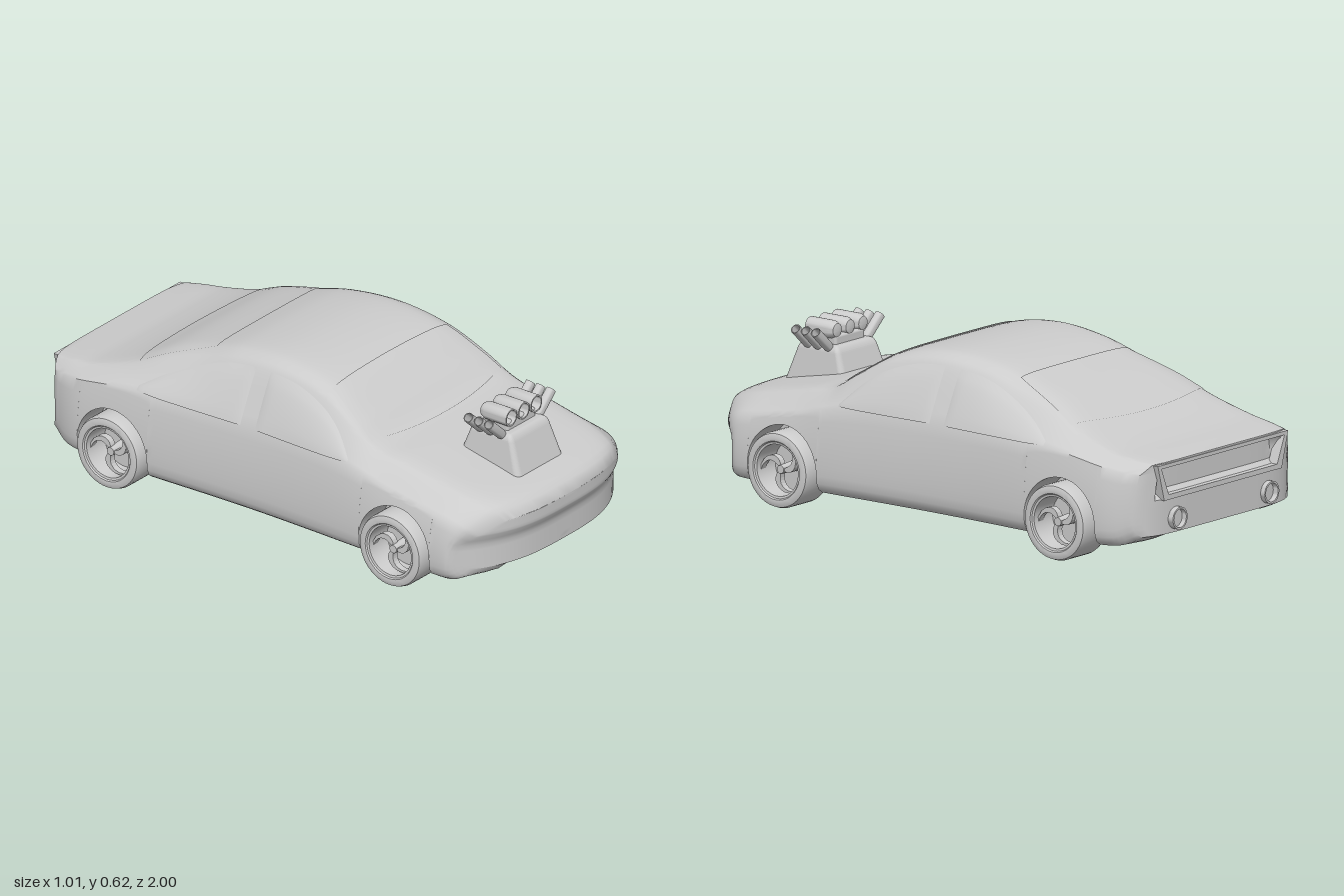
import * as THREE from 'three';
import { mergeGeometries, toCreasedNormals } from 'three/addons/utils/BufferGeometryUtils.js';
import { RoundedBoxGeometry } from 'three/addons/geometries/RoundedBoxGeometry.js';

const grey = new THREE.MeshStandardMaterial({ color: 0xcccccc });
const greyThin = new THREE.MeshStandardMaterial({ color: 0xcccccc, side: THREE.DoubleSide });
const lerp = THREE.MathUtils.lerp;

const AXLES = [0.6, -0.64], WHEEL_Y = 0.135, ARCH_R = 0.155, TAIL = -0.982;

// body stations: z, bottom y, shoulder y, top y, half width, roof half width
const STATIONS = [
  [1.0, 0.11, 0.24, 0.288, 0.425, 0.3],
  [0.985, 0.095, 0.255, 0.314, 0.438, 0.31],
  [0.95, 0.082, 0.267, 0.334, 0.455, 0.32],
  [0.85, 0.07, 0.29, 0.36, 0.47, 0.33],
  [0.7, 0.07, 0.31, 0.39, 0.475, 0.34],
  [0.55, 0.07, 0.335, 0.42, 0.475, 0.35],
  [0.44, 0.07, 0.365, 0.442, 0.474, 0.36],
  [0.35, 0.07, 0.38, 0.5, 0.472, 0.355],
  [0.2, 0.07, 0.39, 0.585, 0.467, 0.33],
  [0, 0.07, 0.39, 0.62, 0.463, 0.32],
  [-0.2, 0.07, 0.39, 0.605, 0.465, 0.31],
  [-0.35, 0.07, 0.39, 0.562, 0.47, 0.305],
  [-0.5, 0.07, 0.385, 0.512, 0.475, 0.315],
  [-0.65, 0.07, 0.375, 0.44, 0.475, 0.34],
  [-0.8, 0.07, 0.35, 0.392, 0.468, 0.36],
  [-0.9, 0.078, 0.335, 0.377, 0.45, 0.36],
  [TAIL, 0.11, 0.33, 0.366, 0.425, 0.35],
];

// smooth interpolation of one station column
function column(z, c) {
  const S = STATIONS, n = S.length;
  let i = 0;
  while (i < n - 2 && z < S[i + 1][0]) i++;
  const slope = (k) => {
    const a = S[Math.max(k - 1, 0)], b = S[Math.min(k + 1, n - 1)];
    return (b[c] - a[c]) / (b[0] - a[0]);
  };
  const h = S[i + 1][0] - S[i][0], t = (z - S[i][0]) / h, t2 = t * t, t3 = t2 * t;
  return (2 * t3 - 3 * t2 + 1) * S[i][c] + (t3 - 2 * t2 + t) * h * slope(i)
    + (3 * t2 - 2 * t3) * S[i + 1][c] + (t3 - t2) * h * slope(i + 1);
}

// half cross-section from bottom centre, round the side, to top centre
const FLOOR_ROWS = 5, SIDE_ROWS = 9, TOP_ROWS = 16;
function halfSection(z, archY) {
  const [yb, yS, yT, W, R] = [1, 2, 3, 4, 5].map((c) => column(z, c));
  const sideX = (y) => W * (1 - 0.07 * Math.exp(-(y - yb) / 0.015)
    - 0.05 * Math.max(0, (y - 0.15) / (yS - 0.15)) ** 2);
  const a = archY ?? yb;
  const pts = [[0, yb + 0.014], [0.26, yb + 0.014], [0.3, yb], [0.34, yb], [0.34, a]];
  for (let k = 0; k < SIDE_ROWS; k++) {
    const y = lerp(a, yS, (k / SIDE_ROWS) ** 1.4);
    pts.push([sideX(y), y]);
  }
  const xs = sideX(yS);
  const upper = new THREE.SplineCurve([
    [xs, 0], [lerp(xs, R, 0.65), 0.72], [R, 0.915], [R * 0.75, 0.987], [0, 1],
  ].map(([x, t]) => new THREE.Vector2(x, lerp(yS, yT, t))));
  for (const p of upper.getPoints(TOP_ROWS)) pts.push([p.x, p.y]);
  return pts;
}

// bows the nose and tail in plan and tucks in the lower nose
function warp([x, y, z]) {
  const s = Math.abs(x) / 0.47;
  if (z > 0.72) {
    const f = ((z - 0.72) / 0.28) ** 2;
    z -= f * (0.16 * s ** 3 + 0.022 * (1 - THREE.MathUtils.smoothstep(y, 0.2, 0.25)));
  } else if (z < -0.78) {
    z += ((z + 0.78) / 0.2) ** 2 * 0.11 * s ** 7;
  }
  return [x, y, z];
}

// surface grid from a point function; faces along di x dj
function grid(ni, nj, point) {
  const pos = [], index = [];
  for (let i = 0; i <= ni; i++) for (let j = 0; j <= nj; j++) {
    pos.push(...point(i, j));
    if (i < ni && j < nj) {
      const a = i * (nj + 1) + j, d = a + nj + 1;
      index.push(a, d, d + 1, a, d + 1, a + 1);
    }
  }
  const g = new THREE.BufferGeometry();
  g.setAttribute('position', new THREE.Float32BufferAttribute(pos, 3));
  g.setIndex(index);
  g.computeVertexNormals();
  return g;
}

function add(parent, name, geometry, material = grey) {
  const mesh = new THREE.Mesh(geometry, material);
  mesh.name = name;
  parent.add(mesh);
  return mesh;
}

function bodyGeometry() {
  const cuts = [];
  for (let k = 0; k <= 80; k++) {
    const z = lerp(1, TAIL, k / 80);
    if (AXLES.every((c) => Math.abs(z - c) > ARCH_R + 0.004)) cuts.push([z]);
  }
  for (const c of AXLES) {
    cuts.push([c + ARCH_R + 2e-4], [c - ARCH_R - 2e-4]);
    for (let k = 0; k <= 24; k++) {
      const t = (k / 24) * Math.PI;
      cuts.push([c + ARCH_R * Math.cos(t), WHEEL_Y + ARCH_R * Math.sin(t)]);
    }
  }
  cuts.sort((a, b) => b[0] - a[0]);
  const rings = cuts.map(([z, archY]) => {
    const half = halfSection(z, archY);
    const mirrored = half.slice(0, -1).reverse().map(([x, y]) => [-x, y]);
    return [...half, ...mirrored].map(([x, y]) => warp([x, y, z]));
  });
  const shell = grid(rings.length - 1, rings[0].length - 1, (i, j) => rings[i][j]);
  // bowed end faces, the rear one with a sunken panel
  const cap = (z, dir) => {
    const half = halfSection(z);
    return grid(24, half.length - 1, (i, j) => {
      const [x, y, cz] = warp([half[j][0] * dir * (i / 12 - 1), half[j][1], z]);
      const sunk = dir < 0 && y > 0.25 && y < 0.348 && Math.abs(x) < 0.322;
      return [x, y, cz + (sunk ? 0.035 : 0)];
    });
  };
  return toCreasedNormals(mergeGeometries([shell, cap(1, 1), cap(TAIL, -1)]), 0.8);
}

// body surface lookups used by the glass
function surfaceX(z, y) {
  const p = halfSection(z).slice(FLOOR_ROWS);
  let k = 0;
  while (k < p.length - 2 && p[k + 1][1] < y) k++;
  return lerp(p[k][0], p[k + 1][0], (y - p[k][1]) / (p[k + 1][1] - p[k][1]));
}
function surfaceY(z, x) {
  const p = halfSection(z).slice(FLOOR_ROWS + SIDE_ROWS), ax = Math.abs(x);
  let k = 0;
  while (k < p.length - 2 && p[k + 1][0] > ax) k++;
  return lerp(p[k][1], p[k + 1][1], (ax - p[k][0]) / (p[k + 1][0] - p[k][0]));
}

function sideWindow(topLine, side) {
  const curve = new THREE.SplineCurve(topLine.map(([z, y]) => new THREE.Vector2(z, y)));
  return grid(20, 8, (i, j) => {
    const p = curve.getPoint(i / 20), y = lerp(0.387, p.y, j / 8);
    const bulge = 0.002 + 0.012 * Math.sqrt(Math.sin(Math.PI * i / 20) * Math.sin(Math.PI * lerp(0.1, 1, j / 8)) + 1e-9);
    return [side * (surfaceX(p.x, y) + bulge), y, p.x];
  });
}

// screen between two edges, each [z, half width, bow]
function screen(front, rear) {
  return grid(24, 14, (i, j) => {
    const u = i / 12 - 1, t = j / 14;
    const x = u * lerp(front[1], rear[1], t);
    const z = lerp(front[0] - front[2] * u * u, rear[0] - rear[2] * u * u, t);
    return [x, surfaceY(z, x) + 0.004, z];
  });
}

function lathe(profile, segments) {
  return toCreasedNormals(new THREE.LatheGeometry(profile.map(([r, h]) => new THREE.Vector2(r, h)), segments), 0.6);
}

// hollow-ended pipe between two points
function pipe(parent, name, from, to, r) {
  const a = new THREE.Vector3(...from), dir = new THREE.Vector3(...to).sub(a), L = dir.length();
  const mesh = add(parent, name, lathe([[0, 0], [r * 0.75, 0.006], [r, 0.025], [r, L], [r * 0.83, L], [r * 0.8, L * 0.5], [0, L * 0.5]], 24));
  mesh.position.copy(a);
  mesh.quaternion.setFromUnitVectors(new THREE.Vector3(0, 1, 0), dir.normalize());
}

function wheel() {
  const g = new THREE.Group();
  add(g, 'tyreAndRim', lathe([[0, -0.05], [0.085, -0.05], [0.1, -0.073], [0.115, -0.075], [0.13, -0.069], [0.135, -0.055],
    [0.135, 0.055], [0.13, 0.069], [0.115, 0.075], [0.104, 0.073], [0.1, 0.068], [0.092, 0.066], [0.088, -0.03], [0, -0.03]], 48).rotateZ(-Math.PI / 2));
  // swept spokes
  for (let k = 0; k < 3; k++) {
    const edge = (s) => Array.from({ length: 9 }, (_, i) => {
      const t = i / 8, r = lerp(0.012, 0.091, t), a = k * Math.PI * 2 / 3 + 1.1 * t * t + s * lerp(0.4, 0.1, t);
      return new THREE.Vector2(r * Math.cos(a), r * Math.sin(a));
    });
    const shape = new THREE.Shape([...edge(-1), ...edge(1).reverse()]);
    const spoke = new THREE.ExtrudeGeometry(shape, { depth: 0.025, bevelEnabled: false });
    add(g, 'spoke', spoke.translate(0, 0, 0.02).rotateY(Math.PI / 2));
  }
  add(g, 'hub', new THREE.CylinderGeometry(0.015, 0.02, 0.08, 20).rotateZ(-Math.PI / 2).translate(0.01, 0, 0));
  return g;
}

export function createModel() {
  const car = new THREE.Group();
  car.name = 'car';
  add(car, 'body', bodyGeometry());

  // glass
  add(car, 'windscreen', screen([0.46, 0.365, 0.045], [0.2, 0.32, -0.01]), greyThin);
  add(car, 'rearWindow', screen([-0.32, 0.29, 0], [-0.645, 0.36, -0.04]), greyThin);
  for (const s of [-1, 1]) {
    add(car, 'frontSideWindow', sideWindow([[0.37, 0.395], [0.29, 0.475], [0.2, 0.53], [0.08, 0.567], [-0.035, 0.575]], s), greyThin);
    add(car, 'rearSideWindow', sideWindow([[-0.1, 0.573], [-0.22, 0.555], [-0.34, 0.512], [-0.46, 0.455], [-0.55, 0.4]], s), greyThin);
  }

  // wheels
  for (const z of AXLES) for (const s of [-1, 1]) {
    const w = wheel();
    w.name = z > 0 ? 'frontWheel' : 'rearWheel';
    w.position.set(s * 0.43, WHEEL_Y, z);
    if (s < 0) w.rotation.y = Math.PI;
    car.add(w);
  }

  // slim frame round the sunken tail panel
  const trapezoid = (Type, top, bottom, yTop, yBottom) => new Type(
    [[-bottom, yBottom], [bottom, yBottom], [top, yTop], [-top, yTop]].map(([x, y]) => new THREE.Vector2(x, y)));
  const frame = trapezoid(THREE.Shape, 0.355, 0.32, 0.36, 0.232);
  frame.holes.push(trapezoid(THREE.Path, 0.335, 0.295, 0.347, 0.25));
  add(car, 'tailFrame', new THREE.ExtrudeGeometry(frame, { depth: 0.04, bevelEnabled: false }).translate(0, 0, -0.986));

  for (const s of [-1, 1]) pipe(car, 'tailpipe', [s * 0.25, 0.16, -0.88], [s * 0.25, 0.16, -1], 0.04);

  // engine rising through the bonnet
  const engine = new THREE.Group();
  engine.name = 'engine';
  car.add(engine);
  const block = new RoundedBoxGeometry(0.28, 0.19, 0.31, 5, 0.025);
  const p = block.attributes.position;
  for (let i = 0; i < p.count; i++) {
    const t = Math.max(0, p.getY(i) / 0.19 + 0.5);
    p.setX(i, p.getX(i) * (1 - 0.22 * t ** 0.7));
    p.setZ(i, p.getZ(i) * (1 - 0.45 * t));
  }
  block.computeVertexNormals();
  add(engine, 'engineBlock', block).position.set(0, 0.398, 0.738);
  add(engine, 'intakeBase', new RoundedBoxGeometry(0.16, 0.05, 0.11, 3, 0.01)).position.set(0, 0.5, 0.735);
  for (const k of [-1, 0, 1]) {
    pipe(engine, 'intake', [k * 0.07, 0.543, 0.675], [k * 0.07, 0.543, 0.8], 0.032);
    for (const s of [-1, 1]) {
      const z = 0.737 + k * 0.045;
      pipe(engine, 'exhaustStack', [s * 0.09, 0.475, z], [s * 0.175, 0.552, z], 0.018);
    }
  }
  return car;
}
